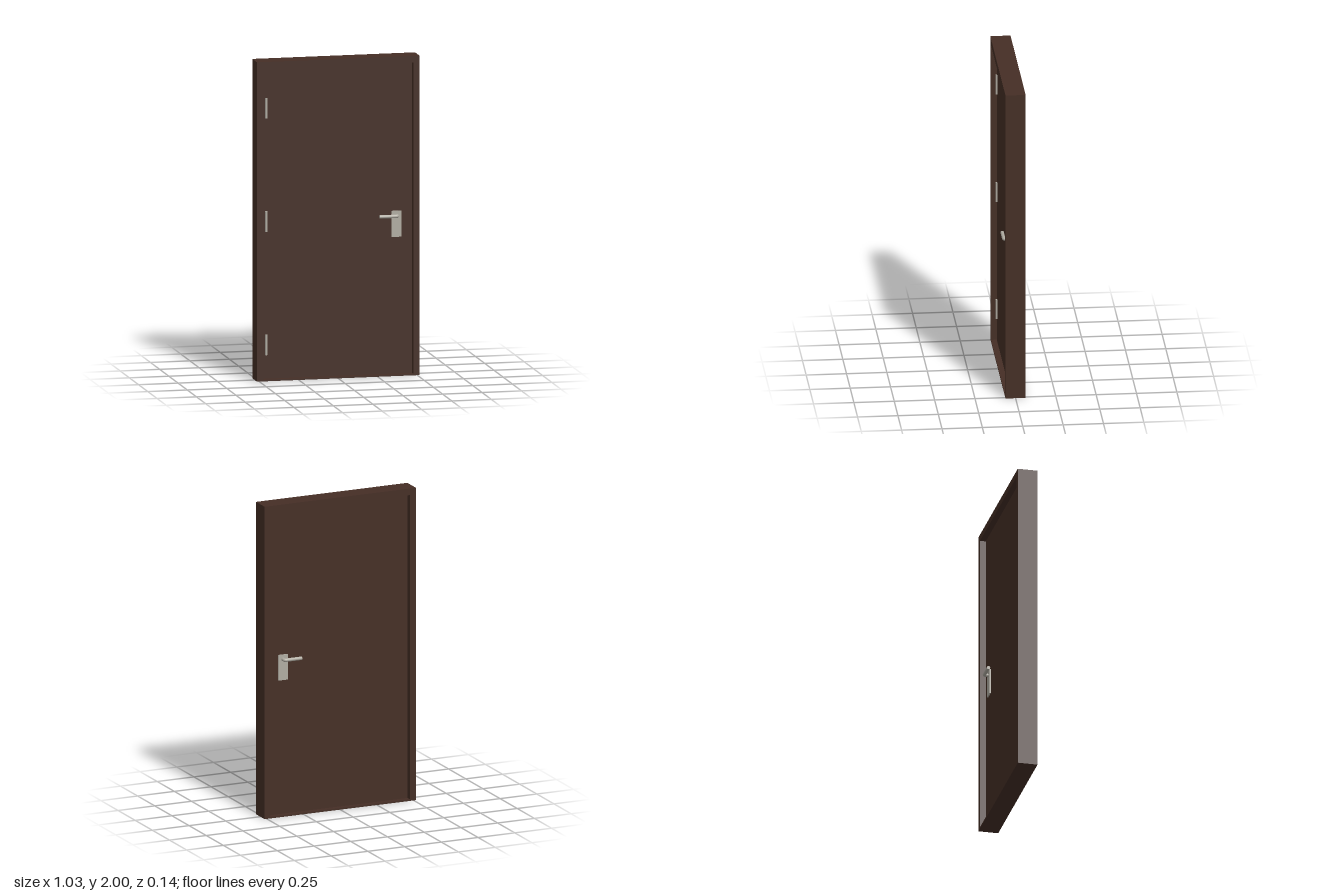
import * as THREE from 'three';

export function createModel() {
  const door = new THREE.Group();
  door.name = 'door';

  const wood = new THREE.MeshStandardMaterial({ color: 0x452e25 });
  wood.name = 'dark brown';
  const metal = new THREE.MeshStandardMaterial({ color: 0xb0aca2 });
  metal.name = 'satin metal';

  function add(parent, name, geometry, material, x = 0, y = 0, z = 0) {
    const mesh = new THREE.Mesh(geometry, material);
    mesh.name = name;
    mesh.position.set(x, y, z);
    parent.add(mesh);
    return mesh;
  }

  // Frame with a low sill: a rectangle with the opening cut out
  const W = 0.515, H = 2, D = 0.125;
  const inW = 0.475, sill = 0.01, inTop = 1.958;
  const outline = new THREE.Shape([
    new THREE.Vector2(-W, 0), new THREE.Vector2(W, 0),
    new THREE.Vector2(W, H), new THREE.Vector2(-W, H),
  ]);
  outline.holes.push(new THREE.Path([
    new THREE.Vector2(-inW, sill), new THREE.Vector2(-inW, inTop),
    new THREE.Vector2(inW, inTop), new THREE.Vector2(inW, sill),
  ]));
  const frame = new THREE.ExtrudeGeometry(outline, { depth: D, bevelEnabled: false });
  add(door, 'frame', frame, wood, 0, 0, -D / 2);

  // Leaf, set back from both faces of the frame
  const leafZ = 0.026;
  add(door, 'leaf', new THREE.BoxGeometry(inW * 2, inTop - sill, leafZ * 2), wood,
    0, (inTop + sill) / 2, 0);

  // Three hinge barrels on the front
  for (const y of [0.222, 0.995, 1.705]) {
    add(door, 'hinge', new THREE.CylinderGeometry(0.007, 0.007, 0.128, 16), metal,
      -0.448, y, leafZ + 0.003);
  }

  // Lever handle: back plate and a rod that turns towards the hinges
  function makeHandle(side) {
    const handle = new THREE.Group();
    handle.name = side > 0 ? 'frontHandle' : 'backHandle';
    add(handle, 'handlePlate', new THREE.BoxGeometry(0.064, 0.163, 0.008), metal,
      0.376, 0.948, side * (leafZ + 0.004));

    const r = 0.011, rodZ = side * 0.06, neckX = 0.377, endX = 0.262, y = 1;
    const bend = 0.012;
    const path = new THREE.CurvePath();
    const a = new THREE.Vector3(neckX, y, side * leafZ);
    const b = new THREE.Vector3(neckX, y, rodZ - side * bend);
    const c = new THREE.Vector3(neckX - bend, y, rodZ);
    const d = new THREE.Vector3(endX, y, rodZ);
    path.add(new THREE.LineCurve3(a, b));
    path.add(new THREE.QuadraticBezierCurve3(b, new THREE.Vector3(neckX, y, rodZ), c));
    path.add(new THREE.LineCurve3(c, d));
    add(handle, 'lever', new THREE.TubeGeometry(path, 48, r, 16), metal);
    const cap = add(handle, 'leverEnd', new THREE.CircleGeometry(r, 16), metal, endX, y, rodZ);
    cap.rotation.y = -Math.PI / 2;
    return handle;
  }
  door.add(makeHandle(1), makeHandle(-1));

  return door;
}
